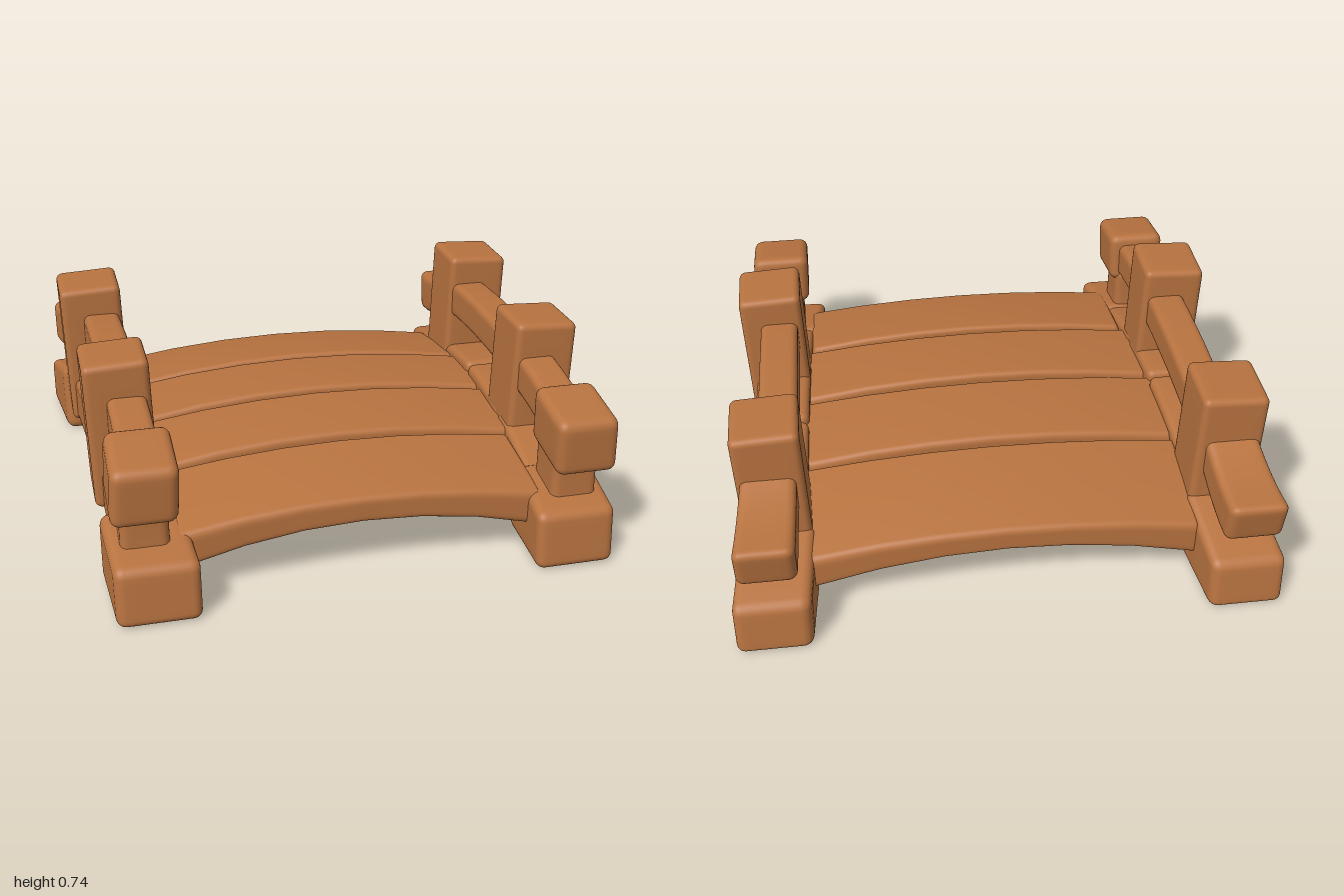
import * as THREE from 'three';
import { mergeVertices } from 'three/addons/utils/BufferGeometryUtils.js';

const wood = new THREE.MeshStandardMaterial({ color: 0xb87340 });
wood.name = 'warmWood';

// Soft-edged block spanning the given ranges; warp bends it in world space,
// receiving the point and its local offset from the block centre.
function softBlock(xr, yr, zr, radius, warp) {
  const n = 12;
  const size = [xr, yr, zr].map((r) => r[1] - r[0]);
  const mid = [xr, yr, zr].map((r) => (r[0] + r[1]) / 2);
  let geo = new THREE.BoxGeometry(1, 1, 1, n, n, n);
  geo.deleteAttribute('uv');
  geo.deleteAttribute('normal');
  geo = mergeVertices(geo, 1e-4);
  const pos = geo.attributes.position;
  const p = new THREE.Vector3(), core = new THREE.Vector3(), local = new THREE.Vector3();
  for (let i = 0; i < pos.count; i++) {
    p.fromBufferAttribute(pos, i);
    for (let a = 0; a < 3; a++) {
      // the outer three grid cells cover the rounded edge, the rest the flat face
      const k = Math.round((p.getComponent(a) + 0.5) * n);
      const half = size[a] / 2, flat = half - radius;
      let v;
      if (k <= 3) v = -half + (radius * k) / 3;
      else if (k >= n - 3) v = half - (radius * (n - k)) / 3;
      else v = -flat + (2 * flat * (k - 3)) / (n - 6);
      p.setComponent(a, v);
      core.setComponent(a, THREE.MathUtils.clamp(v, -flat, flat));
    }
    p.sub(core);
    if (p.lengthSq() > 0) p.setLength(radius);
    p.add(core);
    local.copy(p);
    p.set(p.x + mid[0], p.y + mid[1], p.z + mid[2]);
    if (warp) warp(p, local);
    pos.setXYZ(i, p.x, p.y, p.z);
  }
  geo.computeVertexNormals();
  return geo;
}

export function createModel() {
  const model = new THREE.Group();
  model.name = 'footbridge';

  const add = (parent, name, ...args) => {
    const mesh = new THREE.Mesh(softBlock(...args), wood);
    mesh.name = name;
    parent.add(mesh);
  };

  // Deck planks, domed along both directions
  const deck = new THREE.Group();
  deck.name = 'deck';
  model.add(deck);
  const planks = [
    [-0.77, -0.355, 0.72],
    [-0.325, 0.025, 0.72],
    [0.06, 0.4, 0.71],
    [0.435, 0.795, 0.67],
  ];
  planks.forEach(([z0, z1, w], i) => {
    add(deck, 'plank' + (i + 1), [-w, w], [0, 0.1], [z0, z1], 0.022, (p, l) => {
      const bottom = 1 - p.y / 0.1;
      p.y += 0.283 - 0.14 * p.z * p.z - 0.12 * p.x * p.x - 0.09 * bottom * p.x * p.x;
      if (l.z > 0) p.z += 0.04 * p.x * p.x;
    });
  });

  // Both sides: s = 1 is the model's left, s = -1 its right
  for (const s of [1, -1]) {
    const side = new THREE.Group();
    side.name = s > 0 ? 'leftSide' : 'rightSide';
    model.add(side);
    const xs = (a, b) => (s > 0 ? [a, b] : [-b, -a]);

    // Arched side beam in three logs
    const split = s > 0 ? -0.105 : 0.0;
    const logs = [[-0.67, split - 0.005], [split + 0.005, 0.3], [0.305, 0.68]];
    logs.forEach(([z0, z1], i) => {
      add(side, 'sideBeam' + (i + 1), xs(0.69, 0.905), [0.165, 0.365], [z0, z1], 0.028, (p, l) => {
        p.y += -0.25 * p.z * p.z;
        if (l.y < 0) p.y += 0.15 * s * l.x;
        p.x += -0.045 * s * p.z;
      });
    });

    // Feet: tops slope down towards the ends of the bridge
    const foot = (name, xr, zr, slope, skew) =>
      add(side, name, xr, [0, 0.245], zr, 0.035, (p, l) => {
        p.y += slope * l.z * (p.y / 0.245);
        p.x += skew * s * l.z;
        p.z -= 0.1 * l.y * Math.sign(l.z) * (Math.abs(l.z) / 0.17);
      });
    foot('frontFoot', xs(0.617, 0.912), s > 0 ? [0.62, 0.945] : [0.62, 0.965], -0.18, -0.06);
    foot('backFoot', xs(0.705, 0.98), [-0.955, -0.61], 0.27, -0.11);

    // Main posts
    const post = (name, xr, yr, zr) =>
      add(side, name, xr, yr, zr, 0.026, (p, l) => {
        p.y -= 0.05 * s * l.x * (l.y > 0 ? 1 : 0);
        p.x += 0.03 * s * l.y;
      });
    post('frontPost', xs(0.685, 0.925), [0.165, 0.735], [0.175, 0.425]);
    post('backPost', xs(0.705, 0.95), [0.14, 0.72], [-0.655, -0.395]);

    // Long handrail, gently arched
    add(side, 'handrail', xs(0.715, 0.86), [0.482, 0.63], [-0.6, 0.78], 0.028, (p) => {
      p.y -= 0.13 * p.z * p.z;
      p.x -= 0.02 * s * p.z;
    });

    // Front newel: short neck under a tilted cap block
    add(side, 'frontNeck', xs(0.695, 0.865), [0.18, 0.44], [0.655, 0.84], 0.03, (p, l) => {
      const flare = 1 + 3 * l.y * l.y;
      p.x += l.x * (flare - 1);
      p.z += l.z * (flare - 1);
    });
    add(side, 'frontCap', xs(0.665, 0.895), [0.375, 0.59], [0.665, 0.925], 0.035, (p, l) => {
      p.y -= 0.18 * l.z;
      p.z += 0.06 * l.y;
      p.x *= 1 - 0.06 * l.y;
    });

    // Back rail end, drooping and widening away from the post
    add(side, 'backRailEnd', xs(0.735, 0.93), [-0.085, 0.085], [-0.945, -0.58], 0.03, (p, l) => {
      const t = (0.1825 - l.z) / 0.365;
      p.y = 0.39 + 0.11 * (1 - t) * (1 - t) + l.y * (0.88 + 0.16 * t);
      p.x += l.x * 0.1 * t + s * 0.03 * t;
      p.z -= 0.2 * l.y * t;
    });
  }
  return model;
}
